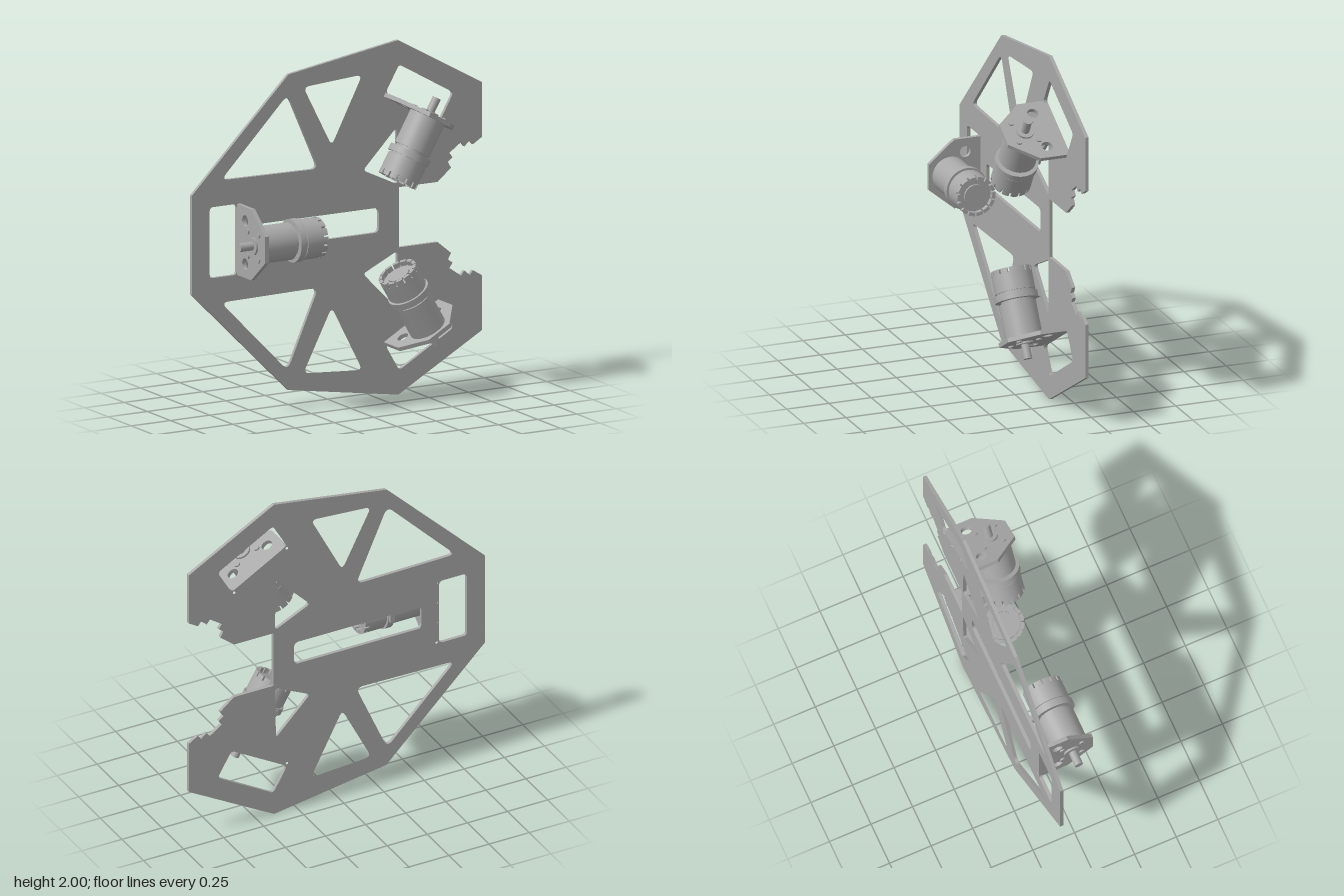
import * as THREE from 'three';
import { toCreasedNormals } from 'three/addons/utils/BufferGeometryUtils.js';

const steel = new THREE.MeshStandardMaterial({ color: 0xa8a8a8 });
steel.name = 'steel grey';

const BACK = -0.165, FACE = -0.145, AXIS_Z = 0.035;

function add(parent, name, geometry, x = 0, y = 0, z = 0) {
  const mesh = new THREE.Mesh(geometry, steel);
  mesh.name = name;
  mesh.position.set(x, y, z);
  parent.add(mesh);
  return mesh;
}

// Closed path through the points with rounded corners
function rounded(points, r) {
  const path = new THREE.Path();
  const v = points.map(p => new THREE.Vector2(...p));
  v.forEach((p, i) => {
    const prev = v[(i + v.length - 1) % v.length], next = v[(i + 1) % v.length];
    const a = prev.clone().sub(p).setLength(r).add(p);
    const b = next.clone().sub(p).setLength(r).add(p);
    if (i) path.lineTo(a.x, a.y); else path.moveTo(a.x, a.y);
    path.quadraticCurveTo(p.x, p.y, b.x, b.y);
  });
  path.closePath();
  return path;
}

function circle(x, y, r) {
  return new THREE.Path().absarc(x, y, r, 0, Math.PI * 2, true);
}

const extrude = (shape, depth, curveSegments = 8) =>
  new THREE.ExtrudeGeometry(shape, { depth, bevelEnabled: false, curveSegments });

const mirrorY = pts => pts.map(([x, y]) => [x, 2 - y]).reverse();

// Bracket centres and the turn that points each shaft outward
const MOUNTS = [
  { name: 'rightMotor', x: -0.627, y: 1, turn: Math.PI / 2 },
  { name: 'upperMotor', x: 0.476, y: 1.603, turn: -Math.PI / 6 },
  { name: 'lowerMotor', x: 0.476, y: 0.397, turn: -Math.PI * 5 / 6 },
];

function basePlate() {
  // Upper half of the outline, from the left side round to the slot
  const half = [
    [-0.925, 1.28], [-0.31, 1.89], [0.39, 2], [0.922, 1.7], [0.922, 1.39],
    [0.865, 1.355], [0.845, 1.38], [0.81, 1.35], [0.79, 1.377], [0.715, 1.325],
    [0.735, 1.297], [0.706, 1.275], [0.725, 1.24], [0.64, 1.17], [0.395, 1.17],
  ];
  const shape = new THREE.Shape([...half, ...mirrorY(half)].map(p => new THREE.Vector2(...p)));

  // Lightening holes
  const triangles = [
    { pts: [[-0.315, 1.778], [-0.74, 1.345], [-0.12, 1.335]], r: 0.05 },
    { pts: [[-0.215, 1.807], [0.16, 1.833], [-0.035, 1.455]], r: 0.04 },
    { pts: [[0.165, 1.292], [0.385, 1.187], [0.378, 1.51]], r: 0.025 },
  ];
  for (const { pts, r } of triangles) {
    shape.holes.push(rounded(pts, r), rounded(mirrorY(pts), r));
  }
  shape.holes.push(rounded([[-0.53, 0.93], [0.265, 0.93], [0.265, 1.07], [-0.53, 1.07]], 0.03));

  // Shaft windows and bracket screw holes
  for (const { x, y, turn } of MOUNTS) {
    const c = Math.cos(turn), s = Math.sin(turn);
    const at = (w, u) => [x + w * c - u * s, y + w * s + u * c];
    shape.holes.push(rounded([at(-0.2, 0.012), at(0.2, 0.012), at(0.2, 0.185), at(-0.2, 0.185)], 0.025));
    for (const w of [-0.19, -0.064, 0.064, 0.19]) {
      shape.holes.push(circle(...at(w, -0.003), 0.008));
    }
  }
  return extrude(shape, FACE - BACK);
}

function bracketGeometry() {
  const shape = new THREE.Shape([
    [-0.2, FACE], [0.2, FACE], [0.2, 0.01], [0.075, 0.16], [-0.075, 0.16], [-0.2, 0.01],
  ].map(p => new THREE.Vector2(...p)));
  for (const s of [-1, 1]) shape.holes.push(circle(s * 0.122, -0.055, 0.032));
  return extrude(shape, 0.024, 16).rotateX(Math.PI / 2).translate(0, 0.012, 0);
}

// Motor can, flange and end cap turned in one profile
function canGeometry() {
  const profile = [
    [0, -0.385], [0.063, -0.385], [0.063, -0.372], [0.113, -0.372], [0.113, -0.272],
    [0.106, -0.272], [0.106, -0.262], [0.121, -0.262], [0.121, -0.224], [0.09, -0.224],
    [0.09, -0.21], [0.104, -0.21], [0.104, -0.01], [0, -0.01],
  ].map(p => new THREE.Vector2(...p));
  return toCreasedNormals(new THREE.LatheGeometry(profile, 48), Math.PI / 5);
}

// One arc of the slotted rim on the end cap
function rimGeometry(count) {
  const span = Math.PI * 2 / count * 0.8;
  const shape = new THREE.Shape();
  shape.absarc(0, 0, 0.113, 0, span, false);
  shape.absarc(0, 0, 0.093, span, 0, true);
  shape.closePath();
  return extrude(shape, 0.028, 4).rotateX(Math.PI / 2);
}

function motorUnit({ name, x, y, turn }) {
  const unit = new THREE.Group();
  unit.name = name;
  unit.position.set(x, y, 0);
  unit.rotation.z = turn;

  add(unit, 'bracket', bracketGeometry());
  add(unit, 'motorCan', canGeometry(), 0, 0, AXIS_Z);

  const teeth = 14, rim = rimGeometry(teeth);
  for (let i = 0; i < teeth; i++) {
    add(unit, 'capRim', rim, 0, -0.372, AXIS_Z).rotation.y = i / teeth * Math.PI * 2;
  }

  // Tab on the flange, facing the plate
  add(unit, 'flangeTab', new THREE.BoxGeometry(0.05, 0.03, 0.03), 0, -0.243, AXIS_Z - 0.121);

  // Boss, shaft and mounting screws
  add(unit, 'boss', new THREE.CylinderGeometry(0.05, 0.05, 0.012, 32), 0, 0.017, AXIS_Z);
  add(unit, 'shaft', new THREE.CylinderGeometry(0.024, 0.024, 0.1, 24), 0, 0.055, AXIS_Z);
  for (const sx of [-1, 1]) for (const sz of [-1, 1]) {
    add(unit, 'screw', new THREE.CylinderGeometry(0.016, 0.016, 0.01, 16),
      sx * 0.07, 0.016, AXIS_Z + sz * 0.058);
  }
  return unit;
}

export function createModel() {
  const model = new THREE.Group();
  model.name = 'threeMotorBase';
  add(model, 'basePlate', basePlate(), 0, 0, BACK);
  for (const mount of MOUNTS) model.add(motorUnit(mount));
  return model;
}
